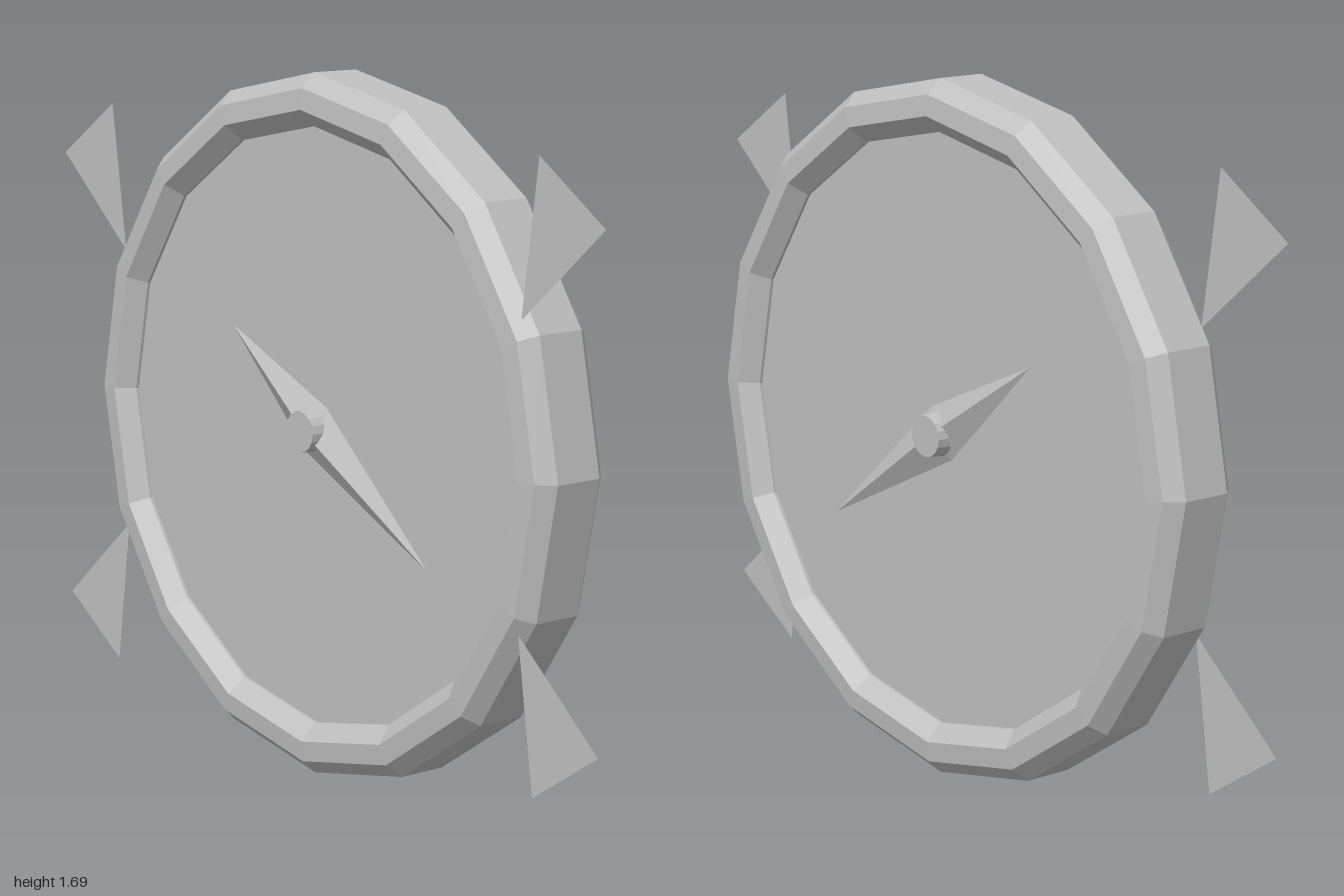
import * as THREE from 'three';

const CENTRE_Y = 0.847;
const SIDES = 16;
const DIAL_Z = 0.057;

export function createModel() {
  const root = new THREE.Group();
  root.name = 'compass';
  const grey = new THREE.MeshStandardMaterial({ color: 0xbfbfbf, flatShading: true });
  grey.name = 'grey';
  const greyThin = new THREE.MeshStandardMaterial({ color: 0xbfbfbf, flatShading: true, side: THREE.DoubleSide });
  greyThin.name = 'greyThin';

  const body = new THREE.Group();
  body.name = 'body';
  body.position.y = CENTRE_Y;
  root.add(body);

  const add = (name, geometry, material = grey) => {
    const mesh = new THREE.Mesh(geometry, material);
    mesh.name = name;
    body.add(mesh);
    return mesh;
  };

  // Bevelled rim: [radius, depth] from the front dial edge outwards, mirrored to the back
  const front = [[0.845, 0.062], [0.81, 0.1], [0.76, 0.105], [0.72, 0.065], [0.72, DIAL_Z]];
  const back = front.map(([r, z]) => [r, -z]).reverse();
  const profile = [...back, ...front].map(([r, z]) => new THREE.Vector2(r, z));
  add('rim', new THREE.LatheGeometry(profile, SIDES).rotateX(Math.PI / 2));

  // Ridged needle: a flat pyramid over a long kite, lying on the dial
  const needleGeometry = (s) => {
    const g = new THREE.BufferGeometry();
    const points = [
      [-0.32, 0.213, 0.06], [-0.04, -0.058, 0.06], [0.41, -0.274, 0.06], [0.04, 0.058, 0.06],
      [0, 0, 0.1],
    ];
    g.setAttribute('position', new THREE.Float32BufferAttribute(points.flatMap(([x, y, z]) => [x, y, z * s]), 3));
    const index = [];
    for (let i = 0; i < 4; i++) {
      const j = (i + 1) % 4;
      index.push(...(s > 0 ? [i, j, 4] : [j, i, 4]));
    }
    g.setIndex(index);
    g.computeVertexNormals();
    return g;
  };

  // Dial, needle and hub on both faces
  for (const s of [1, -1]) {
    const side = s > 0 ? 'front' : 'back';
    const dial = new THREE.CircleGeometry(0.72, SIDES);
    if (s < 0) dial.rotateY(Math.PI);
    add(side + 'Dial', dial.translate(0, 0, s * DIAL_Z));
    add(side + 'Needle', needleGeometry(s));
    const hub = new THREE.CylinderGeometry(0.05, 0.055, 0.05, SIDES).rotateX(s * Math.PI / 2);
    add(side + 'Hub', hub.translate(0, 0, s * 0.084));
  }

  // Four flat triangular points around the rim
  for (const sx of [1, -1]) {
    for (const sy of [1, -1]) {
      const corners = [[0.738, 0.352], [1, 0.578], [0.79, 0.718]];
      const shape = new THREE.Shape(corners.map(([x, y]) => new THREE.Vector2(x * sx, y * sy)));
      const name = (sy > 0 ? 'upper' : 'lower') + (sx > 0 ? 'Left' : 'Right') + 'Point';
      add(name, new THREE.ShapeGeometry(shape).translate(0, 0, 0.078), greyThin);
    }
  }
  return root;
}
